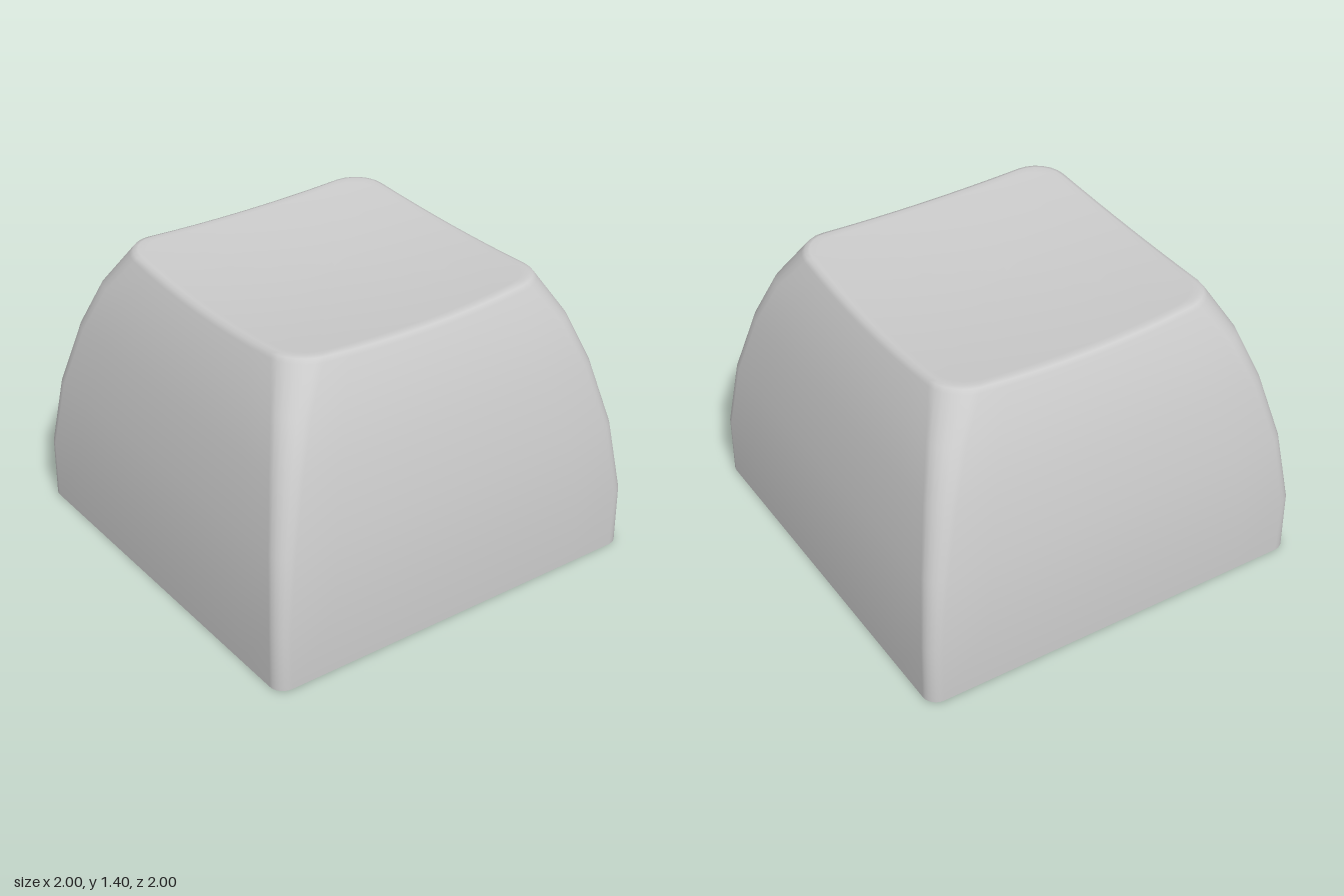
import * as THREE from 'three';

const material = new THREE.MeshStandardMaterial({ color: 0xcccccc });
const ARC = 6, SIDE = 8; // segments per corner and per straight side

// Spherical dish height of the top surface
const dish = (x, z) => 1.336 + 0.08 * (x * x + z * z);

// Rounded square outline as [x, z] pairs, with sides bowed outward by `bow`
function outline(h, r, bow = 0) {
  const pts = [];
  for (let c = 0; c < 4; c++) {
    const mid = Math.PI / 4 + c * Math.PI / 2;
    const cx = Math.sign(Math.cos(mid)) * (h - r);
    const cz = Math.sign(Math.sin(mid)) * (h - r);
    for (let k = 0; k <= ARC; k++) {
      const a = (c + k / ARC) * Math.PI / 2;
      pts.push([cx + r * Math.cos(a), cz + r * Math.sin(a)]);
    }
    const [x, z] = pts[pts.length - 1];
    const len = 2 * (h - r), a = (c + 1) * Math.PI / 2;
    for (let k = 1; k < SIDE; k++) {
      const d = len * k / SIDE;
      pts.push([x - Math.sin(a) * d, z + Math.cos(a) * d]);
    }
  }
  return pts.map(([x, z]) => [
    x * (1 + bow * (1 - (z / h) ** 2)),
    z * (1 + bow * (1 - (x / h) ** 2)),
  ]);
}

// Skin a stack of closed loops of [x, y, z] points
function skin(loops) {
  const n = loops[0].length, index = [];
  for (let i = 0; i < loops.length - 1; i++) {
    for (let j = 0; j < n; j++) {
      const k = (j + 1) % n;
      const a = i * n + j, b = i * n + k, c = a + n, d = b + n;
      index.push(a, c, b, b, c, d);
    }
  }
  const geo = new THREE.BufferGeometry();
  geo.setAttribute('position', new THREE.Float32BufferAttribute(loops.flat(2), 3));
  geo.setIndex(index);
  geo.computeVertexNormals();
  return geo;
}

export function createModel() {
  const group = new THREE.Group();
  group.name = 'keycap';

  // Walls: half width, corner radius, height
  const loops = [
    [1, 0.07, 0], [1, 0.07, 0.3], [0.957, 0.085, 0.65],
    [0.882, 0.105, 0.97], [0.803, 0.125, 1.2],
  ].map(([h, r, y]) => outline(h, r).map(([x, z]) => [x, y, z]));

  // Softened rim following the dish: half width, corner radius, drop
  for (const [h, r, drop] of [[0.706, 0.15, 0.03], [0.694, 0.15, 0.008], [0.675, 0.14, 0]]) {
    loops.push(outline(h, r, 0.03).map(([x, z]) => [x, dish(x, z) - drop, z]));
  }

  // Dished top, shrinking towards the centre
  const rim = loops[loops.length - 1];
  for (const s of [0.96, 0.8, 0.6, 0.4, 0.2, 0.001]) {
    loops.push(rim.map(([x, , z]) => [x * s, dish(x * s, z * s), z * s]));
  }
  const body = new THREE.Mesh(skin(loops), material);
  body.name = 'capBody';
  group.add(body);

  // Flat underside
  const base = outline(1, 0.07).map(([x, z]) => [x, 0, z]);
  const underside = new THREE.Mesh(skin([base.map(() => [0, 0, 0]), base]), material);
  underside.name = 'underside';
  group.add(underside);

  return group;
}
